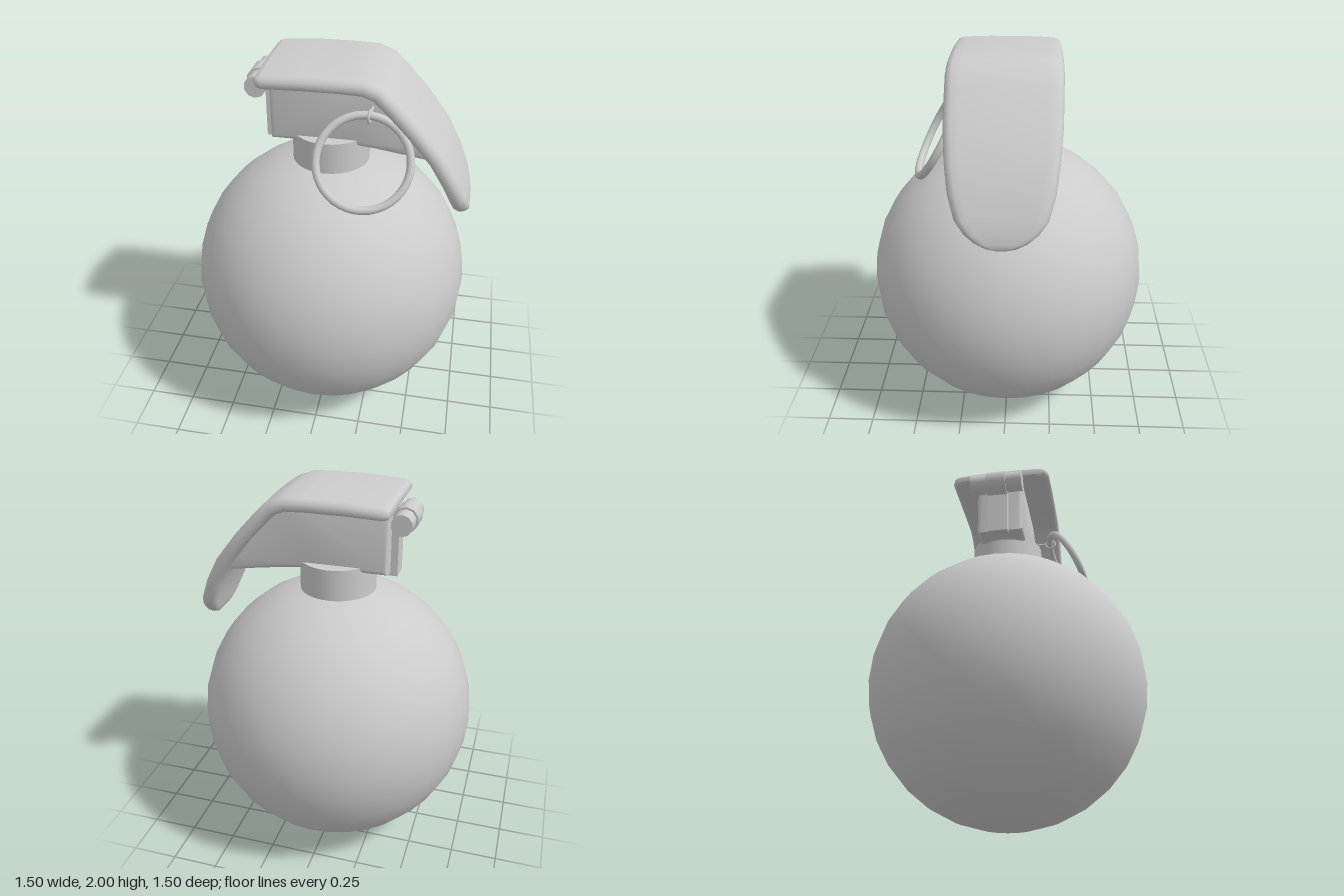
import * as THREE from 'three';
import { toCreasedNormals } from 'three/addons/utils/BufferGeometryUtils.js';

const material = new THREE.MeshStandardMaterial({ color: 0xcccccc });

function add(parent, name, geometry, x = 0, y = 0, z = 0) {
  const mesh = new THREE.Mesh(geometry, material);
  mesh.name = name;
  mesh.position.set(x, y, z);
  parent.add(mesh);
  return mesh;
}

// Round-edged strip section: [share of flat half-width, edge z, edge normal]
function stripSection() {
  const points = [];
  for (const side of [1, -1]) {
    for (let i = 0; i <= 6; i++) {
      const a = -Math.PI / 2 + (i / 6) * Math.PI;
      points.push([side, side * Math.cos(a), side * Math.sin(a)]);
    }
    for (const s of [0.85, 0.4, 0, -0.4, -0.85]) points.push([side * s, 0, side]);
  }
  return points;
}

// Sweep the strip along stations of [x, y, half width, half thickness]
function stripGeometry(stations, droop) {
  const section = stripSection();
  const n = section.length;
  const positions = [];
  const index = [];
  stations.forEach(([x, y, w, t], i) => {
    const p = stations[Math.max(i - 1, 0)];
    const q = stations[Math.min(i + 1, stations.length - 1)];
    const length = Math.hypot(q[0] - p[0], q[1] - p[1]);
    const nx = -(q[1] - p[1]) / length;
    const ny = (q[0] - p[0]) / length;
    for (const [s, c, h] of section) {
      const z = s * Math.max(w - t, 0) + c * Math.min(t, w);
      const k = h * t - droop * Math.pow(Math.abs(z) / 0.28, 4);
      positions.push(x + nx * k, y + ny * k, z);
    }
  });
  for (let i = 0; i < stations.length - 1; i++) {
    for (let j = 0; j < n; j++) {
      const a = i * n + j;
      const b = i * n + (j + 1) % n;
      index.push(a, a + n, b, b, a + n, b + n);
    }
  }
  // End caps
  const last = (stations.length - 1) * n;
  for (let j = 1; j < n - 1; j++) {
    index.push(0, j, j + 1, last, last + j + 1, last + j);
  }
  const geometry = new THREE.BufferGeometry();
  geometry.setAttribute('position', new THREE.Float32BufferAttribute(positions, 3));
  geometry.setIndex(index);
  geometry.computeVertexNormals();
  return geometry;
}

export function createModel() {
  const model = new THREE.Group();
  model.name = 'roundCanister';

  // Spherical body with a small flat base
  const sphere = new THREE.SphereGeometry(0.75, 32, 16);
  const pos = sphere.attributes.position;
  for (let i = 0; i < pos.count; i++) pos.setY(i, Math.max(pos.getY(i), -0.736));
  add(model, 'body', sphere, 0, 0.736, 0);

  add(model, 'neck', new THREE.CylinderGeometry(0.2, 0.2, 0.24, 32), 0, 1.5, 0);

  // Head block under the lever
  const profile = new THREE.Shape([
    [-0.29, 1.59], [0.1, 1.59], [0.25, 1.575], [0.42, 1.55], [0.58, 1.525], [0.56, 1.61],
    [0.43, 1.77], [0.27, 1.93], [0.2, 1.95], [-0.29, 1.95],
  ].map(([x, y]) => new THREE.Vector2(x, y)));
  const block = new THREE.ExtrudeGeometry(profile, {
    depth: 0.21, bevelThickness: 0.025, bevelSize: 0.025, bevelOffset: -0.025, bevelSegments: 3,
  });
  add(model, 'headBlock', toCreasedNormals(block, 0.7), 0, 0, -0.105);

  // Bent lever, tapering to a rounded tip
  const lever = stripGeometry([
    [-0.322, 1.953, 0.25, 0.012], [-0.313, 1.954, 0.268, 0.024], [-0.285, 1.957, 0.28, 0.031],
    [-0.1, 1.966, 0.283, 0.034], [0.1, 1.966, 0.283, 0.034], [0.2, 1.962, 0.283, 0.035],
    [0.27, 1.935, 0.283, 0.036], [0.34, 1.868, 0.282, 0.036], [0.45, 1.75, 0.28, 0.036],
    [0.56, 1.61, 0.268, 0.036], [0.63, 1.48, 0.25, 0.037], [0.675, 1.37, 0.218, 0.039],
    [0.692, 1.31, 0.175, 0.039], [0.703, 1.27, 0.125, 0.036], [0.709, 1.247, 0.075, 0.028],
    [0.712, 1.237, 0.03, 0.014],
  ], 0.014);
  add(model, 'lever', lever, 0, 0, 0.007);

  // Hinge pin, its sleeve and the strap below
  const hinge = new THREE.Group();
  hinge.name = 'hinge';
  model.add(hinge);
  const pin = add(hinge, 'hingePin', new THREE.CylinderGeometry(0.055, 0.055, 0.29, 10), -0.355, 1.866, -0.004);
  const sleeve = add(hinge, 'hingeSleeve', new THREE.CylinderGeometry(0.066, 0.066, 0.11, 10), -0.355, 1.866, -0.004);
  pin.rotation.x = sleeve.rotation.x = Math.PI / 2;
  add(hinge, 'hingeStrap', new THREE.BoxGeometry(0.045, 0.3, 0.11), -0.304, 1.72, -0.004);

  // Pull ring hanging from a small eyelet
  const ring = add(model, 'pullRing', new THREE.TorusGeometry(0.225, 0.02, 10, 40), 0.215, 1.615, 0.34);
  ring.rotation.set(-0.5, 0.13, 0, 'YXZ');
  const eyelet = add(model, 'eyelet', new THREE.TorusGeometry(0.029, 0.007, 6, 16), 0.225, 1.805, 0.235);
  eyelet.rotation.y = Math.PI / 2;
  const stem = add(model, 'safetyPin', new THREE.CylinderGeometry(0.008, 0.008, 0.1, 8), 0.225, 1.805, 0.16);
  stem.rotation.x = Math.PI / 2;

  return model;
}
